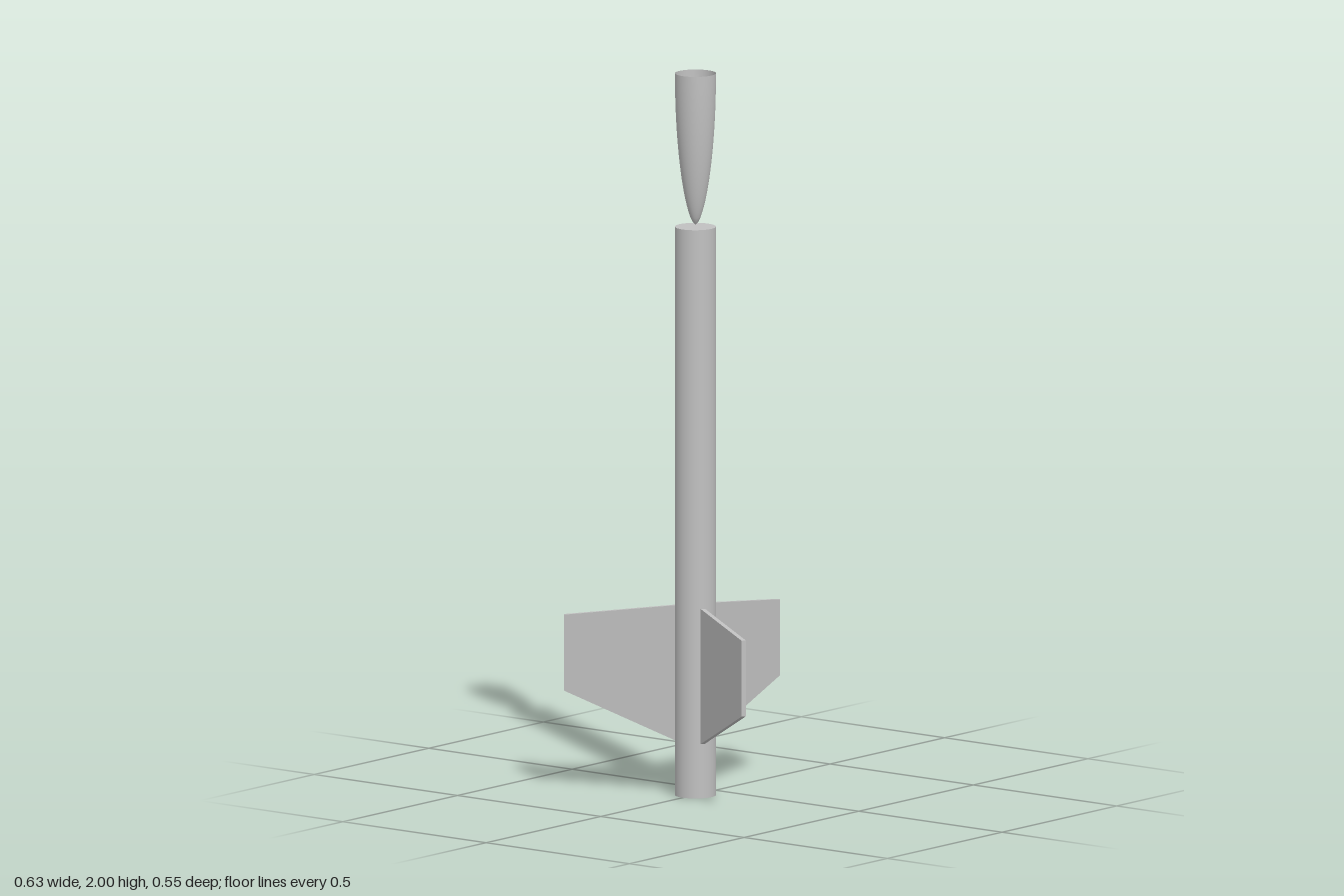
import * as THREE from 'three';

const RADIUS = 0.056;
const AXIS_Z = 0.087;

export function createModel() {
  const model = new THREE.Group();
  model.name = 'modelRocket';
  const grey = new THREE.MeshStandardMaterial({ color: 0xc0c0c0, side: THREE.DoubleSide });
  grey.name = 'plain grey';

  const rocket = new THREE.Group();
  rocket.name = 'rocket';
  rocket.position.z = AXIS_Z;
  model.add(rocket);

  const add = (name, geometry) => {
    const mesh = new THREE.Mesh(geometry, grey);
    mesh.name = name;
    rocket.add(mesh);
    return mesh;
  };

  // Capped body tube
  add('bodyTube', new THREE.CylinderGeometry(RADIUS, RADIUS, 1.575, 48)).position.y = 0.7875;

  // Hollow nose cone, tip down and open at the top
  const profile = [];
  for (let i = 0; i <= 20; i++) {
    const t = (i / 20) ** 1.3;
    const r = RADIUS * Math.pow(1 - (1 - t) ** 2, 0.6);
    profile.push(new THREE.Vector2(r, 1.58 + 0.42 * t));
  }
  add('noseCone', new THREE.LatheGeometry(profile, 48));

  // Three tapered fins, spaced evenly around the tube
  const outline = new THREE.Shape([
    new THREE.Vector2(0.054, 0.15),
    new THREE.Vector2(0.362, 0.28),
    new THREE.Vector2(0.362, 0.49),
    new THREE.Vector2(0.054, 0.525),
  ]);
  const thickness = 0.0125;
  const finGeometry = new THREE.ExtrudeGeometry(outline, { depth: thickness, bevelEnabled: false });
  finGeometry.translate(0, 0, -thickness / 2);
  for (let i = 0; i < 3; i++) {
    add('fin' + (i + 1), finGeometry).rotation.y = Math.PI / 2 + (i * Math.PI * 2) / 3;
  }

  // Small launch lug on the left side
  add('launchLug', new THREE.CylinderGeometry(0.0135, 0.0135, 0.19, 24)).position.set(0.068, 0.385, 0);

  return model;
}
